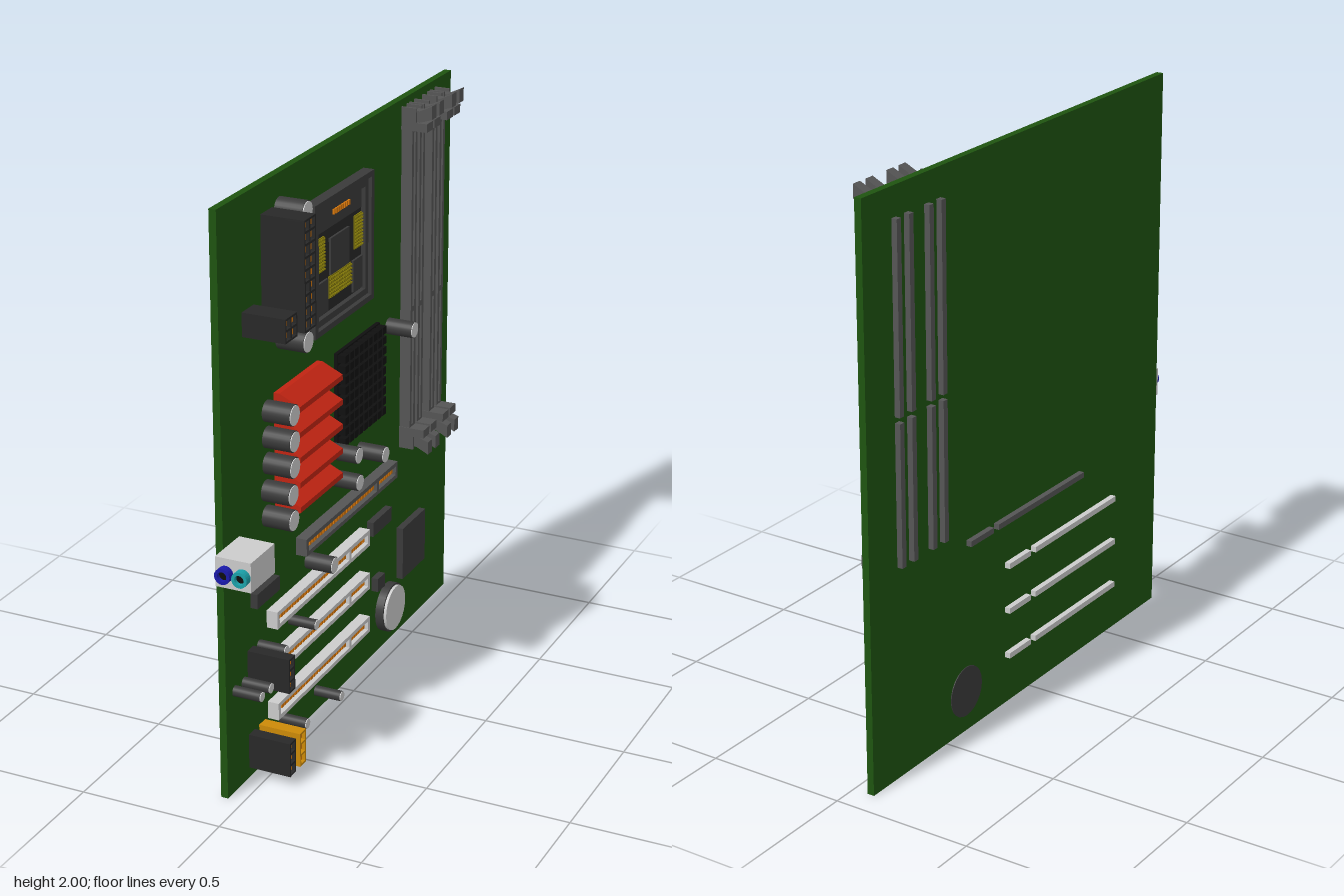
import * as THREE from 'three';
import { mergeGeometries } from 'three/addons/utils/BufferGeometryUtils.js';

const FACE = -0.055; // component side of the board
const BACK = -0.08;  // solder side of the board

const C = {
  board: 0x1e5410, black: 0x282828, dark: 0x3a3a3a, slot: 0x555555, pale: 0xcccccc, orange: 0xd9780a,
  gold: 0x857a08, red: 0xc02412, amber: 0xcc8a08, blue: 0x1a1aaa, cyan: 0x1aa0a8, sink: 0x101010, hole: 0x0c0c0c,
};
const materials = {};
const mat = (color) => (materials[color] ??= new THREE.MeshStandardMaterial({ color }));

// Box from its bounds
function box(x0, x1, y0, y1, z0, z1) {
  return new THREE.BoxGeometry(x1 - x0, y1 - y0, z1 - z0).translate((x0 + x1) / 2, (y0 + y1) / 2, (z0 + z1) / 2);
}
// Rectangular rim standing out of the board
function rim(x0, x1, y0, y1, z0, z1, t) {
  return [
    box(x0, x1, y0, y0 + t, z0, z1), box(x0, x1, y1 - t, y1, z0, z1),
    box(x0, x1, y0 + t, y1 - t, z0, z0 + t), box(x0, x1, y0 + t, y1 - t, z1 - t, z1),
  ];
}
// Grid of small blocks: rows in y, columns in z
function pins(x0, x1, y0, y1, z0, z1, rows, cols, fill) {
  const list = [], dy = (y1 - y0) / rows, dz = (z1 - z0) / cols;
  for (let r = 0; r < rows; r++) for (let c = 0; c < cols; c++) {
    const y = y0 + (r + 0.5) * dy, z = z0 + (c + 0.5) * dz;
    list.push(box(x0, x1, y - dy * fill / 2, y + dy * fill / 2, z - dz * fill / 2, z + dz * fill / 2));
  }
  return list;
}
// Cylinder standing on the board
function disc(r, x0, x1, y, z, r2 = r) {
  return new THREE.CylinderGeometry(r2, r, x1 - x0, 24).rotateZ(-Math.PI / 2).translate((x0 + x1) / 2, y, z);
}
function add(parent, name, color, geos) {
  const mesh = new THREE.Mesh(mergeGeometries([geos].flat()), mat(color));
  mesh.name = name;
  parent.add(mesh);
  return mesh;
}
function group(parent, name) {
  const g = new THREE.Group();
  g.name = name;
  parent.add(g);
  return g;
}

// Memory slot with end towers, latches and solder strips
function memorySlot(root, z) {
  const g = group(root, 'memorySlot');
  const ends = [];
  for (const flip of [false, true]) {
    const m = (y) => (flip ? 2.702 - y : y);
    const pts = [[FACE, 1.925], [0.01, 1.925], [0.055, 1.94], [0.055, 1.987], [0.01, 1.965], [FACE, 1.965]];
    const shape = new THREE.Shape(pts.map(([x, y]) => new THREE.Vector2(x, m(y))));
    ends.push(new THREE.ExtrudeGeometry(shape, { depth: 0.036, bevelEnabled: false }).translate(0, 0, z - 0.018).toNonIndexed());
    const a = m(1.895), b = m(1.925);
    ends.push(box(FACE, 0.04, Math.min(a, b), Math.max(a, b), z - 0.025, z + 0.025).toNonIndexed());
    for (const s of [-1, 1]) {
      const c = m(1.925), d = m(1.975);
      ends.push(box(FACE, 0.0, Math.min(c, d), Math.max(c, d), z + s * 0.021 - 0.004, z + s * 0.021 + 0.004).toNonIndexed());
    }
  }
  add(g, 'latches', C.slot, ends);
  add(g, 'rails', C.slot, [
    ...rim(FACE, -0.015, 0.8, 1.9, z - 0.022, z + 0.022, 0.015), box(FACE, -0.015, 1.24, 1.26, z - 0.01, z + 0.01),
  ]);
  add(g, 'groove', C.dark, box(FACE, -0.038, 0.81, 1.89, z - 0.01, z + 0.01));
  add(g, 'solderStrips', C.slot, [
    box(-0.1, BACK, 0.75, 1.24, z - 0.011, z + 0.011), box(-0.1, BACK, 1.26, 1.9, z - 0.011, z + 0.011),
  ]);
}

// Expansion slot: hollow rim, key, contacts and solder strips
function expansionSlot(root, y, z0, z1, key, color) {
  const g = group(root, 'expansionSlot'), h = 0.031;
  add(g, 'housing', color, [
    ...rim(FACE, -0.015, y - h, y + h, z0, z1, 0.015), box(FACE, -0.015, y - 0.016, y + 0.016, key - 0.008, key + 0.008),
  ]);
  add(g, 'floor', 0x4a3a2a, box(FACE, -0.045, y - 0.017, y + 0.017, z0 + 0.01, z1 - 0.01));
  add(g, 'contacts', C.orange, [
    ...pins(-0.046, -0.025, y - 0.012, y + 0.012, z0 + 0.02, key - 0.012, 1, 8, 0.7),
    ...pins(-0.046, -0.025, y - 0.012, y + 0.012, key + 0.012, z1 - 0.02, 1, 26, 0.7),
  ]);
  add(g, 'solderStrips', color, [
    box(-0.1, BACK, y - 0.01, y + 0.01, z0 + 0.015, key - 0.015), box(-0.1, BACK, y - 0.01, y + 0.01, key + 0.015, z1 - 0.015),
  ]);
}

// Power or fan connector: open cells with a pin in each
function connector(root, name, y0, y1, z0, z1, rows, cols, color) {
  const g = group(root, name), geos = rim(0.03, 0.095, y0, y1, z0, z1, 0.007);
  geos.push(box(FACE, 0.03, y0, y1, z0, z1));
  for (let r = 1; r < rows; r++) {
    const y = y0 + (y1 - y0) * r / rows;
    geos.push(box(0.03, 0.095, y - 0.004, y + 0.004, z0 + 0.007, z1 - 0.007));
  }
  for (let c = 1; c < cols; c++) {
    const z = z0 + (z1 - z0) * c / cols;
    geos.push(box(0.03, 0.094, y0 + 0.007, y1 - 0.007, z - 0.004, z + 0.004));
  }
  add(g, 'housing', color, geos);
  add(g, 'pins', C.orange, pins(0.03, 0.085, y0, y1, z0, z1, rows, cols, 0.52));
}

function capacitor(root, y, z, r) {
  const g = group(root, 'capacitor');
  add(g, 'can', C.dark, disc(r, FACE, 0.042, y, z));
  add(g, 'cap', C.pale, disc(r * 0.92, 0.042, 0.045, y, z));
}

// Chip with legs along its upper and lower edges
function chip(root, y0, y1, z0, z1, legs) {
  const g = group(root, 'chip'), e = legs ? 0.005 : 0;
  add(g, 'body', C.dark, box(FACE, -0.03, y0 + e, y1 - e, z0, z1));
  if (legs) add(g, 'legs', C.pale, pins(FACE, -0.045, y0, y1, z0, z1, 1, legs, 0.5).map((p) => p.scale(1, 1, 1)));
}

export function createModel() {
  const root = new THREE.Group();
  root.name = 'circuitBoard';
  add(root, 'board', C.board, box(BACK, FACE, 0, 2, -0.91, 0.835));

  for (const z of [-0.516, -0.58, -0.686, -0.75]) memorySlot(root, z);
  expansionSlot(root, 0.688, -0.392, 0.33, -0.23, C.slot);
  for (const y of [0.519, 0.352, 0.183]) expansionSlot(root, y, -0.164, 0.546, -0.005, C.pale);

  // Processor socket
  const cpu = group(root, 'processorSocket');
  add(cpu, 'frame', C.dark, [
    ...rim(FACE, -0.015, 1.395, 1.845, -0.19, 0.255, 0.02), ...rim(FACE, -0.025, 1.42, 1.82, -0.165, 0.23, 0.022),
  ]);
  add(cpu, 'plate', C.black, box(FACE, -0.042, 1.41, 1.83, -0.18, 0.245));
  add(cpu, 'raisedBlocks', C.dark, [
    box(-0.045, -0.034, 1.565, 1.69, -0.04, 0.1), box(-0.045, -0.034, 1.73, 1.8, -0.13, 0.19),
    box(-0.045, -0.034, 1.45, 1.56, 0.12, 0.2), box(-0.045, -0.034, 1.45, 1.56, -0.14, -0.07),
  ]);
  add(cpu, 'goldContacts', C.gold, [[1.595, 1.71, 0.14, 0.207, 10, 6], [1.595, 1.71, -0.16, -0.085, 10, 6],
    [1.485, 1.56, -0.06, 0.108, 6, 14]].flatMap(([a, b, c, d, r, n]) => [
    box(-0.043, -0.038, a, b, c, d), ...pins(-0.039, -0.032, a, b, c, d, r, n, 0.5)]));
  add(cpu, 'topPins', C.orange, pins(-0.04, -0.028, 1.763, 1.79, -0.035, 0.09, 1, 8, 0.65));

  // Pin-fin heat sink
  const sink = group(root, 'pinHeatSink');
  add(sink, 'base', C.sink, box(FACE, -0.042, 0.933, 1.267, -0.297, 0.037));
  add(sink, 'fins', C.sink, pins(-0.042, -0.015, 0.933, 1.267, -0.297, 0.037, 9, 9, 0.72));

  // Ridged red heat sink, a saw-tooth section drawn out along z
  const teeth = [[FACE, 0.853], [-0.035, 0.853]];
  for (let i = 0; i < 5; i++) {
    const y = 0.853 + i * 0.087;
    teeth.push([0.038, y + 0.034], [0.038, y + 0.053], [-0.035, y + 0.087]);
  }
  teeth.push([FACE, 1.288]);
  const ridges = new THREE.Shape(teeth.map(([x, y]) => new THREE.Vector2(x, y)));
  add(root, 'ridgedHeatSink', C.red,
    new THREE.ExtrudeGeometry(ridges, { depth: 0.313, bevelEnabled: false }).translate(0, 0, 0.164));

  connector(root, 'mainPowerConnector', 1.537, 1.902, 0.472, 0.551, 9, 2, C.black);
  connector(root, 'auxPowerConnector', 1.547, 1.627, 0.604, 0.684, 2, 2, C.black);
  connector(root, 'fanConnector', 0.344, 0.466, 0.641, 0.684, 3, 1, C.black);
  connector(root, 'fanConnector', 0.037, 0.159, 0.641, 0.684, 3, 1, C.black);
  connector(root, 'amberConnector', 0.037, 0.159, 0.567, 0.61, 3, 1, C.amber);

  // Capacitors, as [y, z] by radius
  const cans = {
    0.036: [[1.887, 0.424], [1.807, 0.424], [1.717, 0.424], [1.627, 0.424], [1.547, 0.424], [1.457, 0.424],
      [1.245, 0.525], [1.155, 0.525], [1.065, 0.525], [0.975, 0.538], [0.885, 0.535]],
    0.029: [[1.219, -0.397], [0.922, 0.048], [0.821, 0.042], [0.843, -0.164], [0.599, 0.239]],
    0.018: [[0.45, 0.6], [0.397, 0.59], [0.44, 0.376], [0.366, 0.774], [0.366, 0.71], [0.106, 0.45], [0.08, 0.186]],
  };
  for (const r in cans) for (const [y, z] of cans[r]) capacitor(root, y, z, Number(r));

  chip(root, 0.604, 0.665, 0.498, 0.657, 14);
  chip(root, 0.488, 0.551, -0.378, -0.223, 14);
  chip(root, 0.254, 0.315, -0.323, -0.265, 6);
  chip(root, 0.217, 0.417, -0.673, -0.477, 0);

  // Coin battery in its holder
  const battery = group(root, 'battery');
  add(battery, 'holder', C.dark, disc(0.09, BACK - 0.003, -0.025, 0.147, -0.385));
  add(battery, 'cell', C.pale, disc(0.083, -0.03, -0.015, 0.147, -0.385));

  // Rear port block with two round sockets
  const ports = group(root, 'portBlock');
  add(ports, 'shell', C.pale, box(FACE, 0.07, 0.79, 0.892, 0.726, 0.888));
  for (const [x, color] of [[-0.018, C.blue], [0.042, C.cyan]]) {
    const profile = [[0, 0], [0.027, 0], [0.027, 0.03], [0.016, 0.03], [0.016, 0.008], [0, 0.008]];
    const ring = new THREE.LatheGeometry(profile.map(([r, h]) => new THREE.Vector2(r, h)), 24);
    add(ports, 'socket', color, ring.toNonIndexed().rotateX(Math.PI / 2).translate(x, 0.84, 0.885)).geometry.computeVertexNormals();
    add(ports, 'socketHole', C.hole, new THREE.CylinderGeometry(0.016, 0.016, 0.012, 24).rotateX(Math.PI / 2).translate(x, 0.84, 0.895));
  }
  return root;
}
